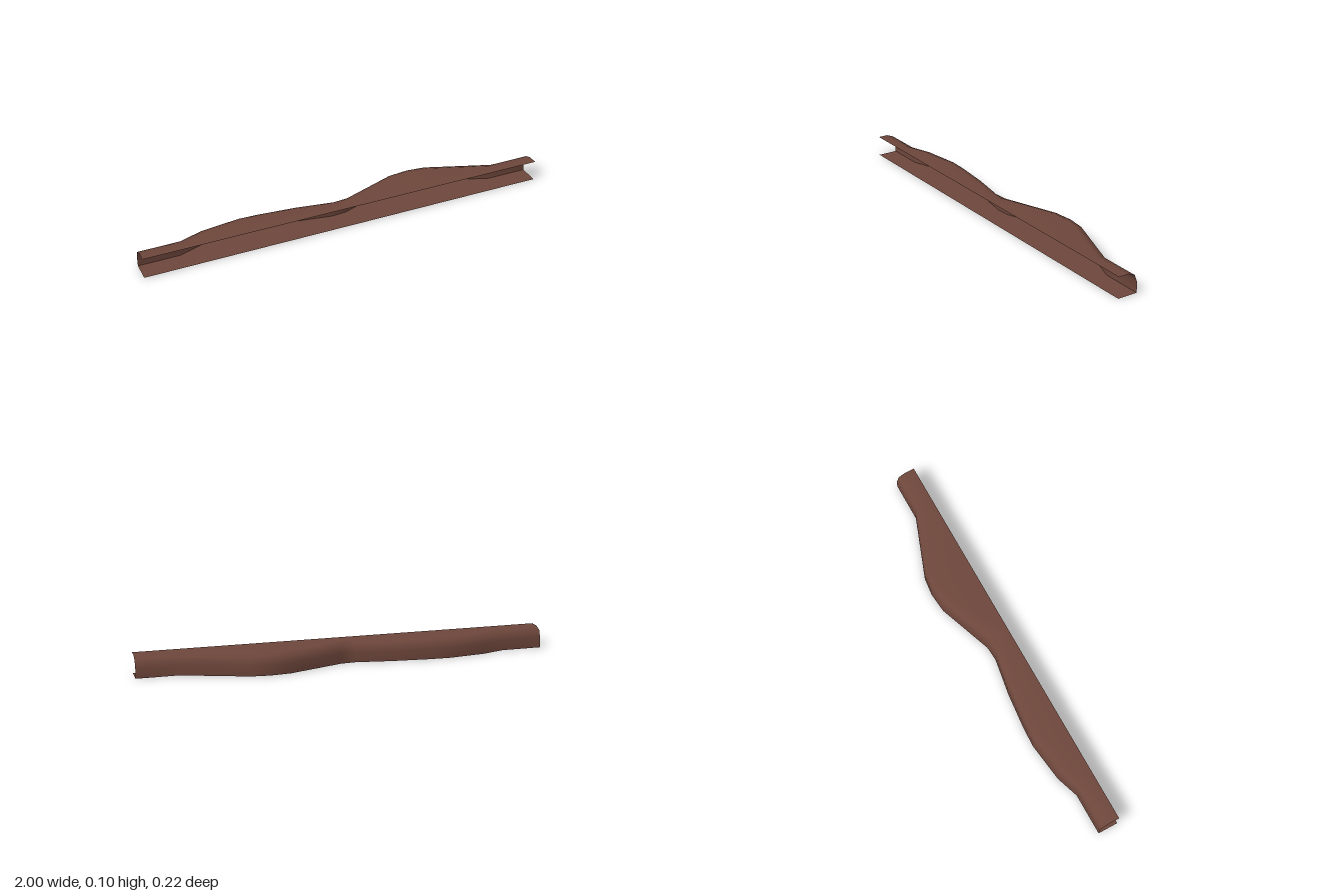
import * as THREE from 'three';

// Wavy rear line as [x, z] stations
const rear = [
  [-1, 0.012], [-0.8, 0.012], [-0.69, -0.025], [-0.5, -0.05], [-0.4, -0.046],
  [-0.22, -0.028], [-0.04, 0.002], [0.03, -0.003], [0.3, -0.1], [0.4, -0.11],
  [0.49, -0.1], [0.8, 0.012], [1, 0.012],
];
const FRONT = 0.11;

// Sweeps a cross-section, given as z, y points for each rear position, along the stations
function sheet(section) {
  const pos = [], idx = [];
  const n = section(0).length;
  rear.forEach(([x, z], i) => {
    for (const [pz, py] of section(z)) pos.push(x, py, pz);
    if (i === 0) return;
    for (let j = 0; j < n - 1; j++) {
      const a = (i - 1) * n + j, b = a + n;
      idx.push(a, a + 1, b, b, a + 1, b + 1);
    }
  });
  const g = new THREE.BufferGeometry();
  g.setAttribute('position', new THREE.Float32BufferAttribute(pos, 3));
  g.setIndex(idx);
  g.computeVertexNormals();
  return g;
}

export function createModel() {
  const group = new THREE.Group();
  group.name = 'wavyChannel';
  const brown = new THREE.MeshStandardMaterial({ color: 0x6d463b, side: THREE.DoubleSide });
  brown.name = 'brown';

  const add = (name, geometry) => {
    const mesh = new THREE.Mesh(geometry, brown);
    mesh.name = name;
    group.add(mesh);
  };

  // Rear wall curving over into the flat top
  add('wallAndTop', sheet((z) => [
    [z, 0], [z, 0.05], [z + 0.014, 0.086], [z + 0.049, 0.1], [FRONT, 0.1],
  ]));

  // Flat base, facing down
  add('base', sheet((z) => [[FRONT, 0], [z, 0]]));

  return group;
}
